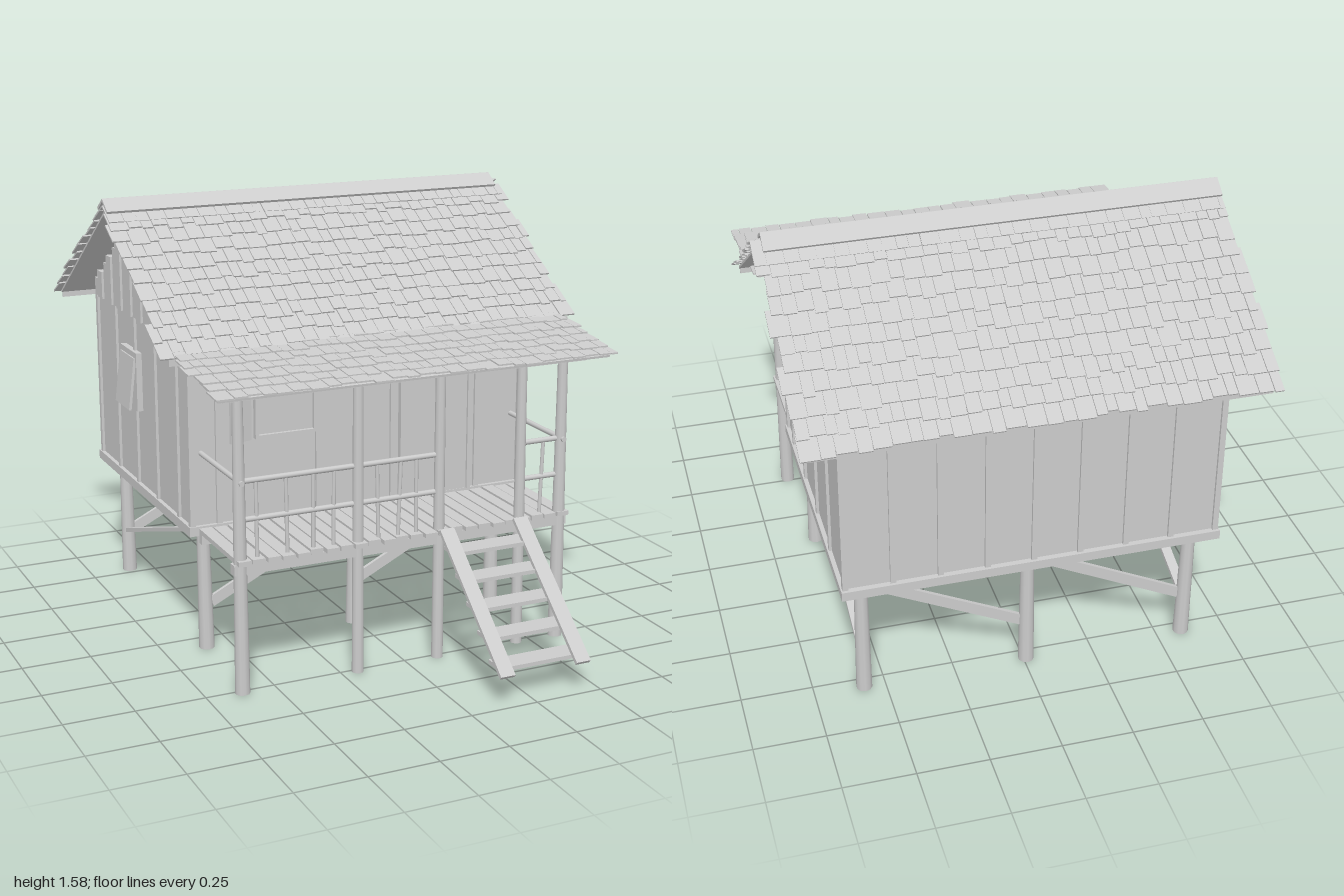
import * as THREE from 'three';
import { mergeGeometries } from 'three/addons/utils/BufferGeometryUtils.js';

const wood = new THREE.MeshStandardMaterial({ color: 0xcccccc });
wood.name = 'pale wood';

let seed = 7;
const rnd = (a, b) => {
  seed = (seed * 16807) % 2147483647;
  return a + (b - a) * (seed / 2147483647);
};
const V = (p) => new THREE.Vector3(...p);

function add(parent, name, geo) {
  const m = new THREE.Mesh(geo, wood);
  m.name = name;
  parent.add(m);
  return m;
}

// Box given by its extents along each axis
function box(parent, name, [x0, x1], [y0, y1], [z0, z1]) {
  const m = add(parent, name, new THREE.BoxGeometry(x1 - x0, y1 - y0, z1 - z0));
  m.position.set((x0 + x1) / 2, (y0 + y1) / 2, (z0 + z1) / 2);
  return m;
}

// Round pole from a to b
function pole(parent, name, a, b, r0, r1 = r0) {
  const A = V(a), B = V(b), d = B.clone().sub(A);
  const m = add(parent, name, new THREE.CylinderGeometry(r1, r0, d.length(), 10));
  m.position.copy(A).add(B).multiplyScalar(0.5);
  m.quaternion.setFromUnitVectors(new THREE.Vector3(0, 1, 0), d.normalize());
  return m;
}

// Flat board from a to b, w wide (across) and t thick
function board(parent, name, a, b, w, t) {
  const A = V(a), B = V(b);
  const m = add(parent, name, new THREE.BoxGeometry(w, t, A.distanceTo(B)));
  m.position.copy(A).add(B).multiplyScalar(0.5);
  m.lookAt(B);
  return m;
}

// Sloping roof of ragged, overlapping shingles; top and bottom are [z, y]
function shingleRoof(parent, name, top, bottom, x0, x1, rows) {
  const g = new THREE.Group();
  g.name = name;
  const dz = bottom[0] - top[0], drop = top[1] - bottom[1];
  const len = Math.hypot(dz, drop), pitch = len / rows;
  g.rotation.set(Math.atan2(drop, Math.abs(dz)), dz < 0 ? Math.PI : 0, 0, 'YXZ');
  g.position.set(0, top[1], top[0]);
  box(g, 'roofDeck', [x0 + 0.025, x1 - 0.025], [-0.012, -0.004], [0, len - 0.02]);
  const parts = [];
  for (let r = 0; r < rows; r++) {
    let x = x0 + rnd(-0.012, 0.018);
    while (x < x1 - 0.02) {
      const w = Math.min(rnd(0.035, 0.07), x1 + rnd(-0.012, 0.01) - x);
      if (w < 0.012) break;
      const l = pitch * 1.4, end = (r + 1) * pitch + rnd(-0.014, 0.008);
      const s = new THREE.BoxGeometry(w - 0.003, 0.006, l);
      s.rotateX(-0.08 + rnd(-0.015, 0.015));
      s.translate(x + w / 2, 0.003 + rnd(0, 0.002), Math.max(end - l / 2, l / 2));
      parts.push(s);
      x += w;
    }
  }
  add(g, 'shingles', mergeGeometries(parts));
  parent.add(g);
}

const L = -0.67, R = 0.65, F = 0.165, B = -0.865; // outer walls

function buildHouse(g) {
  box(g, 'floorFrame', [L - 0.005, R + 0.005], [0.456, 0.49], [B - 0.01, F + 0.005]);
  box(g, 'walls', [L + 0.01, R - 0.01], [0.49, 1.135], [B + 0.01, F - 0.01]);

  // Vertical planks with raised battens over the joints
  for (let i = 0; i <= 8; i++) {
    const x = L + 0.01 + ((R - L - 0.02) * i) / 8;
    box(g, 'backBatten', [x - 0.01, x + 0.01], [0.49, 1.13], [B, B + 0.02]);
  }
  for (const x of [L + 0.01, -0.56, -0.18, -0.005, 0.115, 0.46, R - 0.01])
    box(g, 'frontBatten', [x - 0.01, x + 0.01], [0.49, 1.12], [F - 0.02, F]);
  for (const s of [L, R - 0.02])
    for (const z of [F - 0.012, 0.035, -0.19, -0.41, -0.63, B + 0.012])
      box(g, 'sideBatten', [s, s + 0.02], [0.49, 1.13], [z - 0.009, z + 0.009]);

  // Stepped gable planks
  const n = 18, w = (F - B) / n;
  for (const s of [L, R])
    for (let i = 0; i < n; i++) {
      const z = B + w * (i + 0.5), o = (i % 2 ? 0.004 : 0.012) * Math.sign(s);
      const top = 1.515 - 0.68 * Math.max(0, Math.abs(z + 0.35) - 0.01);
      box(g, 'gablePlank', [s - 0.012 - o, s + 0.012 - o], [1.125, top], [z - w / 2, z + w / 2 - 0.002]);
    }

  // Door
  box(g, 'door', [0.155, 0.415], [0.49, 1.03], [F - 0.01, F + 0.003]);
  for (const x of [0.14, 0.415]) box(g, 'doorJamb', [x, x + 0.015], [0.49, 1.045], [F - 0.01, F + 0.012]);
  box(g, 'doorLintel', [0.14, 0.43], [1.03, 1.05], [F - 0.01, F + 0.012]);

  // Front window with an open shutter
  box(g, 'windowPane', [-0.42, -0.2], [0.79, 0.975], [F - 0.011, F - 0.004]);
  for (const y of [0.783, 0.967]) box(g, 'windowRail', [-0.425, -0.19], [y, y + 0.012], [F - 0.011, F + 0.01]);
  for (const x of [-0.425, -0.202]) box(g, 'windowStile', [x, x + 0.012], [0.783, 0.979], [F - 0.011, F + 0.01]);
  const shutter = box(g, 'shutter', [-0.53, -0.443], [0.785, 0.985], [0.183, 0.193]);
  shutter.rotation.y = 0.25;

  // Side window hatch
  box(g, 'sideWindowFrame', [L - 0.012, L + 0.012], [0.78, 1.0], [-0.53, -0.35]);
  const hatch = box(g, 'sideHatch', [L - 0.03, L - 0.02], [0.785, 0.98], [-0.52, -0.36]);
  hatch.rotation.z = -0.12;
}

function buildStilts(g) {
  const xs = [-0.592, -0.01, 0.575];
  for (const z of [0.09, -0.79]) {
    for (const x of xs) pole(g, 'stilt', [x, 0, z], [x + rnd(-0.006, 0.006), 0.46, z], 0.028, 0.023);
    for (let i = 0; i < 2; i++)
      box(g, 'brace', [-0.305, 0.305], [-0.02, 0.02], [-0.007, 0.007]).position.set((xs[i] + xs[i + 1]) / 2, 0.31, z + 0.005);
  }
  g.children.filter((c) => c.name === 'brace').forEach((c) => (c.rotation.z = 0.46));
  for (const x of [xs[0], xs[2]]) board(g, 'sideBrace', [x, 0.445, 0.07], [x, 0.17, -0.78], 0.035, 0.015);
}

function buildPorch(g) {
  const z = 0.51;
  for (const x of [-0.622, -0.19, 0.122, 0.445, 0.608])
    pole(g, 'porchPost', [x, 0, z + 0.005], [x + rnd(-0.005, 0.005), 1.075, z], x < 0.5 && x > -0.5 ? 0.021 : 0.026, 0.018);
  box(g, 'roofBeam', [-0.68, 0.7], [1.03, 1.062], [z - 0.025, z + 0.015]);
  box(g, 'deckBeam', [-0.65, 0.632], [0.43, 0.466], [z - 0.018, z + 0.018]);
  box(g, 'innerDeckBeam', [-0.64, 0.63], [0.43, 0.466], [F + 0.005, F + 0.03]);
  // Deck slats
  for (let i = 0; i < 24; i++) {
    const x = -0.64 + i * 0.0535;
    box(g, 'deckSlat', [x, x + 0.046], [0.466, 0.482 + rnd(-0.002, 0.003)], [F, 0.54 + rnd(-0.01, 0.01)]);
  }
  // Railings
  for (const [a, b] of [[-0.64, 0.115], [0.445, 0.625]])
    for (const y of [0.752, 0.618]) pole(g, 'frontRail', [a, y, z], [b, y, z], 0.0095);
  for (const x of [-0.622, 0.608]) pole(g, 'sideRail', [x, 0.752, F - 0.01], [x, 0.752, z + 0.03], 0.0095);
  for (const x of [-0.56, -0.45, -0.355, -0.28, -0.11, -0.035, 0.035, 0.53])
    pole(g, 'baluster', [x, 0.48, z], [x + rnd(-0.012, 0.012), 0.752, z], 0.007);
}

function buildStairs(g) {
  for (const x of [0.137, 0.43]) board(g, 'stringer', [x, 0.485, 0.545], [x, 0.108, 0.993], 0.055, 0.014);
  for (let i = 0; i < 5; i++) {
    const y = 0.12 + i * 0.0745, z = 0.915 - i * 0.083;
    box(g, 'tread', [0.13, 0.44], [y - 0.007, y + 0.007], [z - 0.042, z + 0.042]);
  }
}

function buildRoof(g) {
  shingleRoof(g, 'frontRoof', [-0.35, 1.55], [0.275, 1.128], -0.8, 0.8, 11);
  shingleRoof(g, 'backRoof', [-0.35, 1.55], [-0.995, 1.118], -0.8, 0.8, 11);
  shingleRoof(g, 'porchRoof', [0.14, 1.157], [0.652, 1.071], -0.76, 0.75, 8);
  box(g, 'frontEaveBoard', [-0.77, 0.77], [1.103, 1.13], [0.262, 0.272]);
  box(g, 'backEaveBoard', [-0.77, 0.77], [1.1, 1.125], [-0.98, -0.97]);
  // Ridge cap of two sloping boards
  for (const s of [-1, 1]) {
    const cap = box(g, 'ridgeCap', [-0.79, 0.775], [1.549, 1.559], [-0.385, -0.315]);
    cap.position.z = -0.35 + s * 0.026;
    cap.rotation.x = s * 0.595;
  }
}

export function createModel() {
  const model = new THREE.Group();
  model.name = 'stiltHouse';
  for (const [name, build] of Object.entries({
    house: buildHouse, stilts: buildStilts, porch: buildPorch, stairs: buildStairs, roof: buildRoof,
  })) {
    const g = new THREE.Group();
    g.name = name;
    build(g);
    model.add(g);
  }
  return model;
}
